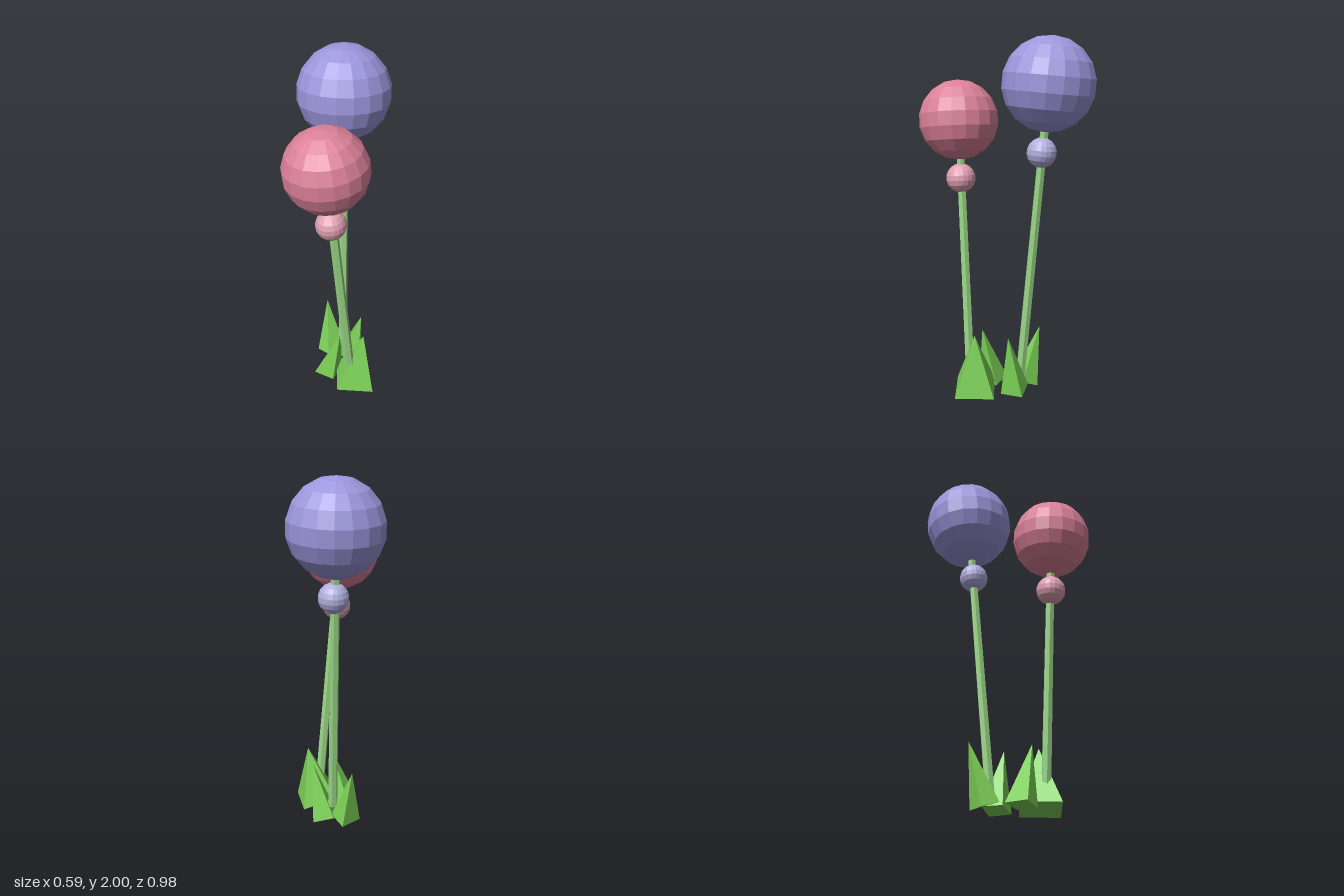
import * as THREE from 'three';

const V = (p) => new THREE.Vector3(...p);
const UP = new THREE.Vector3(0, 1, 0);

function material(name, color) {
  const m = new THREE.MeshStandardMaterial({ color, flatShading: true });
  m.name = name;
  return m;
}

function add(group, name, geometry, mat) {
  const mesh = new THREE.Mesh(geometry, mat);
  mesh.name = name;
  group.add(mesh);
  return mesh;
}

// Four-sided spike: base corners run clockwise seen from above (-z is up), with a closed base
function spikeGeometry(base, apex) {
  const tris = [];
  for (let i = 0; i < 4; i++) tris.push(base[(i + 1) % 4], base[i], apex);
  tris.push(base[0], base[1], base[2], base[0], base[2], base[3]);
  const g = new THREE.BufferGeometry();
  g.setAttribute('position', new THREE.Float32BufferAttribute(tris.flat(), 3));
  g.computeVertexNormals();
  return g;
}

export function createModel() {
  const model = new THREE.Group();
  model.name = 'pomPomFlowers';

  const stemMat = material('stem green', 0x98d484);
  const leafMat = material('leaf green', 0x7dd258);
  const violet = material('violet', 0x9c96dc);
  const paleViolet = material('pale violet', 0xb0aedc);
  const rose = material('rose', 0xdb8199);
  const paleRose = material('pale rose', 0xdfa0b3);

  const plants = [
    {
      name: 'violetFlower', headMat: violet, budMat: paleViolet,
      foot: [0.005, 0.1, -0.1], head: [-0.045, 1.745, -0.237], headR: 0.257,
      bud: [-0.025, 1.38, -0.207],
      leaves: [
        { apex: [0.13, 0.35, -0.08],
          base: [[-0.01, 0.035, -0.14], [0.11, 0.003, -0.158], [0.13, 0.008, -0.035], [0.005, 0.035, -0.025]] },
        { apex: [-0.122, 0.353, -0.162],
          base: [[-0.07, 0.006, -0.175], [0.01, 0.045, -0.115], [-0.06, 0.038, -0.01], [-0.152, 0.005, -0.065]] },
      ],
    },
    {
      name: 'roseFlower', headMat: rose, budMat: paleRose,
      foot: [0.14, 0.13, 0.16], head: [0.038, 1.55, 0.273], headR: 0.223,
      bud: [0.055, 1.225, 0.254],
      leaves: [
        { apex: [0.2, 0.36, 0.095],
          base: [[0.2, 0.002, -0.025], [0.292, 0, 0.175], [0.095, 0.043, 0.268], [0.02, 0.045, 0.06]] },
        { apex: [0.06, 0.348, 0.12],
          base: [[-0.07, 0.03, 0.025], [0.05, 0.012, 0.035], [0.03, 0.006, 0.16], [-0.09, 0.03, 0.16]] },
      ],
    },
  ];

  for (const p of plants) {
    const plant = new THREE.Group();
    plant.name = p.name;
    model.add(plant);

    // Everything on the stem leans along the stem's axis
    const foot = V(p.foot), head = V(p.head);
    const axis = head.clone().sub(foot);
    const lean = new THREE.Quaternion().setFromUnitVectors(UP, axis.clone().normalize());

    const stem = add(plant, 'stem', new THREE.CylinderGeometry(0.024, 0.028, axis.length(), 6), stemMat);
    stem.position.copy(foot).addScaledVector(axis, 0.5);
    stem.quaternion.copy(lean);

    const bloom = add(plant, 'flowerHead', new THREE.SphereGeometry(p.headR, 18, 9), p.headMat);
    bloom.position.copy(head);
    bloom.quaternion.copy(lean);

    const bud = add(plant, 'bud', new THREE.SphereGeometry(0.083, 18, 9), p.budMat);
    bud.position.copy(V(p.bud));
    bud.quaternion.copy(lean);

    for (const leaf of p.leaves) add(plant, 'leaf', spikeGeometry(leaf.base, leaf.apex), leafMat);
  }
  return model;
}
